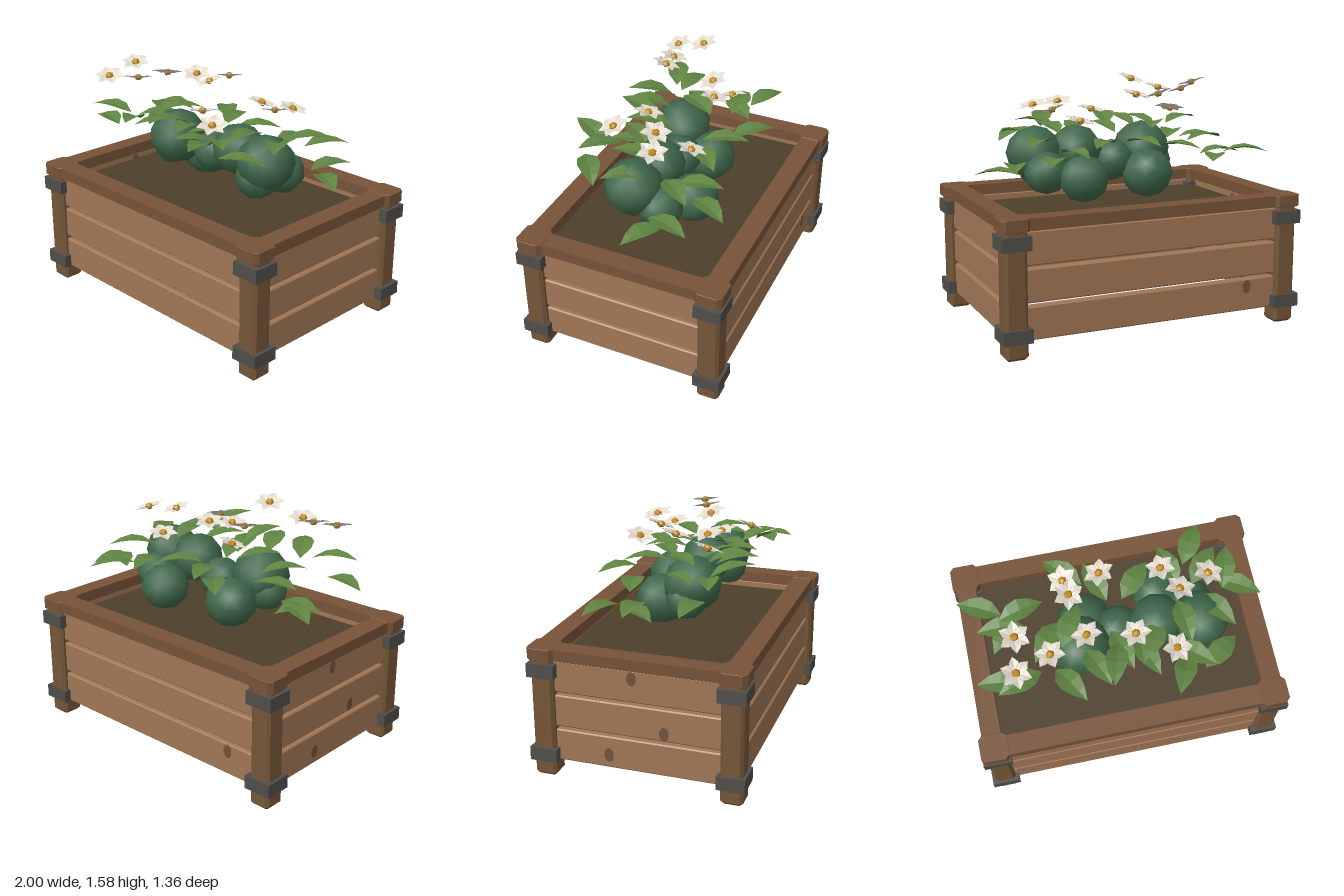
import * as THREE from 'three';
import { mergeVertices } from 'three/addons/utils/BufferGeometryUtils.js';

const flat = (name, color, extra = {}) =>
  Object.assign(new THREE.MeshStandardMaterial({ color, ...extra }), { name });

// Bar along 'x', 'y' or 'z' with long edges chamfered by c and ends bevelled by e
function chamferBar(sx, sy, sz, axis, c, e = c) {
  const [w, h, len] = axis === 'x' ? [sz, sy, sx] : axis === 'y' ? [sx, sz, sy] : [sx, sy, sz];
  const a = w / 2, b = h / 2;
  const shape = new THREE.Shape([
    [a - c, -b], [a, -b + c], [a, b - c], [a - c, b],
    [-a + c, b], [-a, b - c], [-a, -b + c], [-a + c, -b],
  ].map(([x, y]) => new THREE.Vector2(x, y)));
  const g = new THREE.ExtrudeGeometry(shape, {
    depth: len - 2 * e, bevelEnabled: true, bevelSegments: 1,
    bevelThickness: e, bevelSize: e, bevelOffset: -e,
  });
  g.translate(0, 0, e - len / 2);
  if (axis === 'x') g.rotateY(Math.PI / 2);
  if (axis === 'y') g.rotateX(-Math.PI / 2);
  return g;
}

// Pointed blade along +z, folded at the midrib and arched
function bladeGeometry(length, width, fold, arch, steps) {
  const pos = [], index = [];
  for (let i = 0; i <= steps; i++) {
    const t = i / steps;
    const swell = Math.sin(Math.PI * Math.pow(t, 0.85));
    const half = (width / 2) * swell;
    const y = arch * Math.sin(Math.PI * t);
    const edgeY = y + fold * swell;
    pos.push(-half, edgeY, t * length, 0, y, t * length, half, edgeY, t * length);
    if (i < steps) {
      const k = i * 3;
      for (const j of [k, k + 1]) index.push(j, j + 3, j + 1, j + 1, j + 3, j + 4);
    }
  }
  const g = new THREE.BufferGeometry();
  g.setAttribute('position', new THREE.Float32BufferAttribute(pos, 3));
  g.setIndex(index);
  g.computeVertexNormals();
  return g;
}

export function createModel() {
  const model = new THREE.Group();
  model.name = 'flowerPlanter';
  const mat = {
    plank: flat('plankWood', 0xa07655, { flatShading: true }),
    post: flat('postWood', 0x755638, { flatShading: true }),
    rim: flat('rimWood', 0x775338, { flatShading: true }),
    knot: flat('woodKnot', 0x72533a),
    iron: flat('ironBand', 0x504e4a, { flatShading: true }),
    soil: flat('soil', 0x4d402b),
    bush: flat('bushGreen', 0x3f674b),
    leaf: flat('leafGreen', 0x5f8442, { flatShading: true, side: THREE.DoubleSide }),
    petal: flat('petalWhite', 0xe2dace, { flatShading: true, side: THREE.DoubleSide }),
    centre: flat('flowerGold', 0xc28a1c, { flatShading: true }),
  };
  const add = (parent, name, geo, material, x = 0, y = 0, z = 0) => {
    const m = new THREE.Mesh(geo, material);
    m.name = name;
    m.position.set(x, y, z);
    parent.add(m);
    return m;
  };

  // Corner posts with iron bands and caps
  const postGeo = chamferBar(0.14, 0.78, 0.14, 'y', 0.018);
  const bandGeo = new THREE.BoxGeometry(0.182, 0.085, 0.175);
  const capGeo = chamferBar(0.182, 0.075, 0.175, 'y', 0.026, 0.002);
  for (const sx of [-1, 1]) for (const sz of [-1, 1]) {
    const corner = new THREE.Group();
    corner.name = 'cornerPost';
    corner.position.set(sx * 0.909, 0, sz * 0.591);
    add(corner, 'post', postGeo, mat.post, 0, 0.39);
    for (const y of [0.147, 0.697]) add(corner, 'ironBand', bandGeo, mat.iron, 0, y);
    add(corner, 'cap', capGeo, mat.rim, 0, 0.8025);
    model.add(corner);
  }

  // Three planks on each wall, and the top rim
  const longPlank = chamferBar(1.72, 0.205, 0.06, 'x', 0.008);
  const shortPlank = chamferBar(0.06, 0.205, 1.08, 'z', 0.008);
  const longRim = new THREE.BoxGeometry(1.7, 0.072, 0.13);
  const shortRim = new THREE.BoxGeometry(0.125, 0.072, 1.1);
  for (const s of [-1, 1]) {
    for (const y of [0.207, 0.432, 0.656]) {
      add(model, 'longPlank', longPlank, mat.plank, 0, y, s * 0.6);
      add(model, 'shortPlank', shortPlank, mat.plank, s * 0.915, y, 0);
    }
    add(model, 'longRim', longRim, mat.rim, 0, 0.802, s * 0.593);
    add(model, 'shortRim', shortRim, mat.rim, s * 0.913, 0.802, 0);
  }

  // Knots, shown on both faces of the planks
  const knotGeo = new THREE.CylinderGeometry(0.03, 0.03, 0.004, 10).rotateX(Math.PI / 2).scale(1, 1.5, 1);
  for (const [y, z] of [[0.705, -0.03], [0.38, 0.17], [0.19, -0.18]])
    for (const x of [-0.946, -0.884]) add(model, 'knot', knotGeo, mat.knot, x, y, z).rotation.y = Math.PI / 2;
  for (const z of [-0.631, -0.569]) add(model, 'knot', knotGeo, mat.knot, -0.64, 0.26, z);

  add(model, 'soil', new THREE.BoxGeometry(1.77, 0.03, 1.14), mat.soil, 0, 0.7, 0);

  // Round bushes, a little squat: centre and radius
  const rough = new THREE.IcosahedronGeometry(1, 1);
  rough.deleteAttribute('uv');
  rough.deleteAttribute('normal');
  const ball = mergeVertices(rough, 1e-3);
  ball.computeVertexNormals();
  [
    [-0.25, 1.09, 0.12, 0.182], [-0.32, 1.0, 0.1, 0.125], [-0.19, 0.95, -0.1, 0.165],
    [0.01, 1.03, 0.03, 0.14], [0.25, 1.11, 0.06, 0.165], [0.52, 1.1, 0.1, 0.178],
    [0.48, 1.0, 0.13, 0.135], [0.5, 0.99, -0.07, 0.14], [0.3, 0.96, -0.2, 0.155],
  ].forEach(([x, y, z, r], i) => {
    const b = add(model, 'bush', ball, mat.bush, x, y, z);
    b.scale.set(r * 1.03, r * 0.98, r * 1.03);
    b.rotation.y = i * 1.3;
  });

  // Leaves: middle x, y, z and heading in degrees; those at the front rise to the tip
  const leafLength = 0.3;
  const leafGeo = bladeGeometry(leafLength, 0.145, 0.018, 0.028, 4).translate(0, 0, -leafLength / 2);
  for (const [x, y, z, heading] of [
    [-0.28, 1.14, -0.36, -134], [-0.84, 1.07, -0.25, -116], [-0.71, 1.01, -0.08, -35],
    [-0.73, 1.05, -0.1, -92], [-0.58, 1.16, -0.15, 104], [-0.46, 1.17, 0.09, -37],
    [-0.78, 1.11, 0.28, -100], [-0.66, 1.23, 0.34, -70], [-0.36, 1.23, 0.41, 31],
    [-0.18, 1.25, 0.34, 23], [-0.07, 1.27, 0.35, -15], [-0.01, 1.22, 0.25, 17],
    [-0.09, 1.16, -0.25, -160], [0.16, 1.16, -0.21, 136], [0.39, 1.12, -0.28, -167],
    [0.57, 1.1, -0.41, 149], [0.6, 1.19, -0.21, 139], [0.83, 1.0, -0.1, 61],
    [0.76, 1.05, -0.23, 162], [0.62, 1.22, 0.11, 34], [0.58, 1.18, 0.37, 127],
    [0.32, 1.27, 0.49, -24], [0.41, 1.25, 0.38, 51], [0.18, 1.23, 0.24, -34],
    [0.4, 1.24, 0.15, 5], [-0.3, 1.24, 0.04, 150], [0.14, 1.14, 0.3, 20],
  ]) {
    const a = THREE.MathUtils.degToRad(heading);
    const rise = 0.6 * Math.max(0, z) * Math.cos(a);
    add(model, 'leaf', leafGeo, mat.leaf, x, y, z).lookAt(x + Math.sin(a), y + rise, z + Math.cos(a));
  }

  // Six-petalled flowers: x, y, z then the lean of the bloom in x and z
  const petalGeo = bladeGeometry(0.1, 0.072, 0.01, 0.004, 3).rotateX(-0.16);
  const centreGeo = new THREE.IcosahedronGeometry(0.028, 0).scale(1, 0.85, 1);
  [
    [-0.64, 1.5, 0.14, 0.2, 0.25], [-0.67, 1.44, 0.34, 0.25, 0.3], [-0.45, 1.46, 0.28, -0.2, -0.2],
    [-0.22, 1.53, 0.23, -0.25, -0.3], [0.08, 1.34, 0.21, -0.15, -0.15], [0.3, 1.33, 0.34, 0.3, 0.3],
    [0.39, 1.42, 0.01, 0.2, -0.25], [0.58, 1.41, -0.06, 0.25, -0.15], [-0.07, 1.46, -0.17, -0.2, -0.2],
    [-0.28, 1.45, -0.08, 0.25, 0.3], [-0.29, 1.37, -0.21, -0.25, 0.25], [0.32, 1.31, -0.19, -0.2, -0.2],
  ].forEach(([x, y, z, nx, nz], i) => {
    const flower = new THREE.Group();
    flower.name = 'flower';
    for (let k = 0; k < 6; k++)
      add(flower, 'petal', petalGeo, mat.petal).rotation.y = (k * Math.PI) / 3 + i * 0.1;
    add(flower, 'flowerCentre', centreGeo, mat.centre, 0, 0.012, 0);
    flower.position.set(x, y, z);
    flower.quaternion.setFromUnitVectors(new THREE.Vector3(0, 1, 0), new THREE.Vector3(nx, 1, nz).normalize());
    model.add(flower);
  });

  return model;
}
